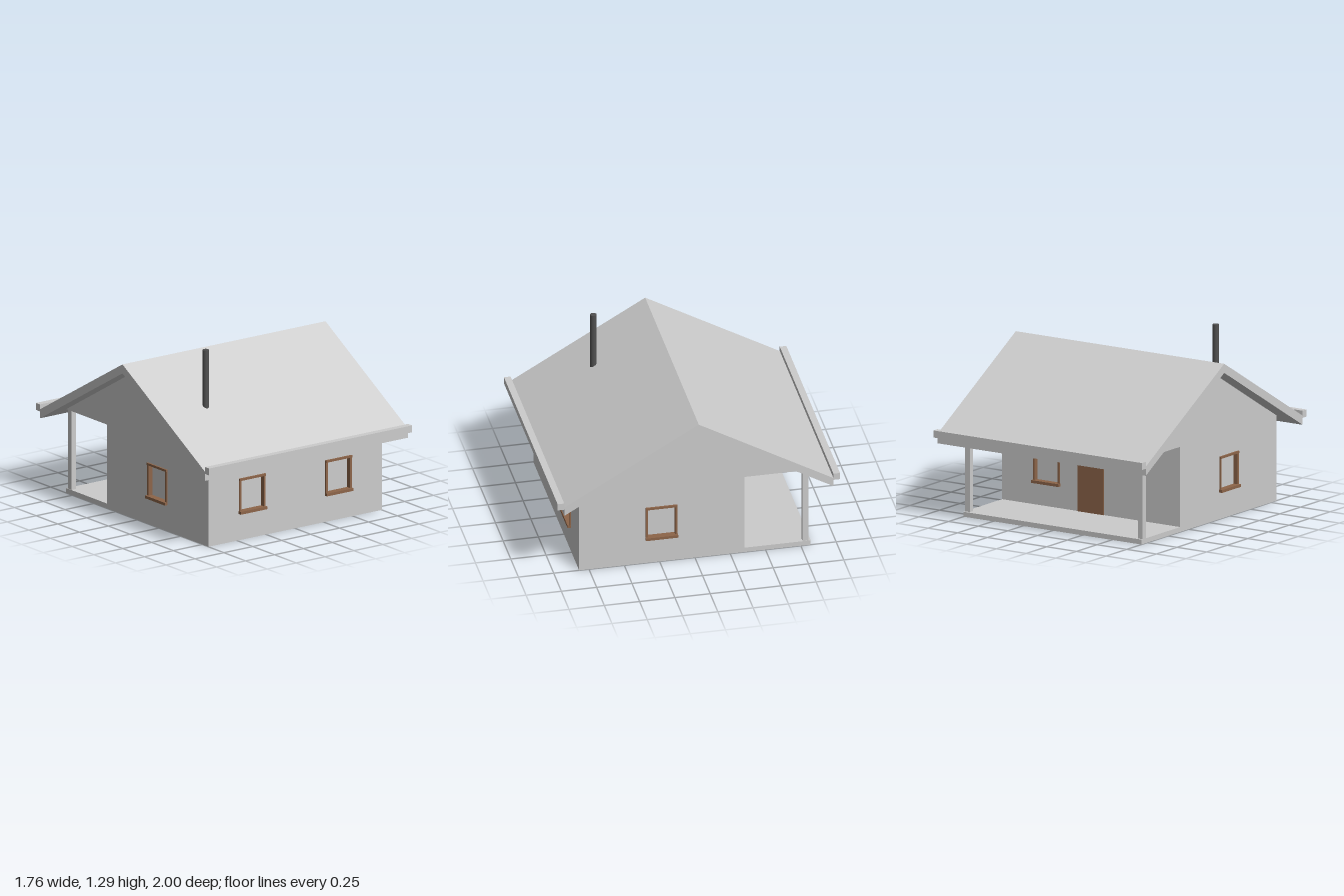
import * as THREE from 'three';

const W = 0.75;      // half width of the house
const FRONT = 0.82;  // front wall
const BACK = -0.35;  // back wall, behind which lies the porch
const EAVE = 0.605;  // wall height
const WIN = { w: 0.225, y0: 0.19, y1: 0.445 };

export function createModel() {
  const house = new THREE.Group();
  house.name = 'house';
  const mat = (name, color, side = THREE.FrontSide) => {
    const m = new THREE.MeshStandardMaterial({ color, side });
    m.name = name;
    return m;
  };
  const grey = mat('plaster grey', 0xcccccc, THREE.DoubleSide);
  const wood = mat('brown wood', 0x8d6549);
  const dark = mat('dark metal', 0x505050);

  const add = (parent, name, geometry, material) => {
    const m = new THREE.Mesh(geometry, material);
    m.name = name;
    parent.add(m);
    return m;
  };
  // Box given by its lower and upper corners
  const box = (parent, name, a, b, material) => {
    const m = add(parent, name, new THREE.BoxGeometry(b[0] - a[0], b[1] - a[1], b[2] - a[2]), material);
    m.position.set((a[0] + b[0]) / 2, (a[1] + b[1]) / 2, (a[2] + b[2]) / 2);
    return m;
  };
  // Thin wall from an outline, with window openings centred at the given places
  const wall = (name, points, openings) => {
    const s = new THREE.Shape(points.map(p => new THREE.Vector2(...p)));
    for (const c of openings) {
      const l = c - WIN.w / 2, r = c + WIN.w / 2;
      s.holes.push(new THREE.Path([[l, WIN.y0], [l, WIN.y1], [r, WIN.y1], [r, WIN.y0]].map(p => new THREE.Vector2(...p))));
    }
    return add(house, name, new THREE.ShapeGeometry(s), grey);
  };
  // Window box set into a wall; local +z points outward
  const windowAt = (name, x, z, turn) => {
    const g = new THREE.Group();
    g.name = name;
    const h = WIN.w / 2, t = 0.016, inn = -0.025, { y0, y1 } = WIN;
    box(g, 'windowSill', [-h - 0.002, y0, inn], [h + 0.002, y0 + 0.02, 0.025], wood);
    box(g, 'windowHead', [-h, y1 - t, inn], [h, y1, 0.013], wood);
    for (const s of [-1, 1]) {
      const e = [s * h, s * (h - t)].sort((a, b) => a - b);
      box(g, 'windowJamb', [e[0], y0 + 0.02, inn], [e[1], y1 - t, 0.009], wood);
    }
    const pane = add(g, 'windowPane', new THREE.PlaneGeometry(2 * h, y1 - y0), grey);
    pane.position.set(0, (y0 + y1) / 2, inn - 0.001);
    g.position.set(x, 0, z);
    g.rotation.y = turn;
    house.add(g);
  };

  // Front and back walls
  const panel = [[-W, 0], [W, 0], [W, EAVE], [-W, EAVE]];
  wall('frontWall', panel, [-0.373, 0.373]).position.z = FRONT;
  wall('backWall', panel, [0.373]).position.z = BACK;

  // Gable walls, reaching over the porch
  const gable = [[-FRONT, 0], [-FRONT, EAVE], [0, 1.08], [FRONT, EAVE], [-BACK, EAVE], [-BACK, 0]];
  for (const s of [-1, 1]) {
    const g = wall(s > 0 ? 'leftGableWall' : 'rightGableWall', gable, [-0.237]);
    g.rotation.y = Math.PI / 2;
    g.position.x = s * W;
    windowAt('sideWindow', s * W, 0.237, s * Math.PI / 2);
    windowAt('frontWindow', s * 0.373, FRONT, 0);
  }
  windowAt('backWindow', 0.373, BACK, Math.PI);

  // Door on the porch
  box(house, 'door', [-0.11, 0.035, BACK - 0.006], [0.11, 0.45, BACK + 0.002], wood);

  // Porch floor and posts
  box(house, 'porchFloor', [-W, 0, -FRONT], [W, 0.035, BACK], grey);
  for (const s of [-1, 1]) {
    const x = s * (W - 0.022);
    box(house, 'porchPost', [x - 0.02, 0.035, -0.803], [x + 0.02, EAVE + 0.005, -0.763], grey);
  }

  // Roof slab, extruded along x
  const R = 0.878, E = 0.953;
  const roofShape = new THREE.Shape([[-E, 0.53], [0, 1.08], [E, 0.53], [E, 0.595], [0, 1.145], [-E, 0.595]]
    .map(p => new THREE.Vector2(...p)));
  const roofGeo = new THREE.ExtrudeGeometry(roofShape, { depth: 2 * R, bevelEnabled: false });
  roofGeo.translate(0, 0, -R).rotateY(Math.PI / 2);
  add(house, 'roof', roofGeo, grey);

  // Gutters along both eaves
  for (const s of [-1, 1]) {
    const z = s * (1 + E) / 2, d = (1 - E) / 2;
    box(house, 'gutter', [-R, 0.58, z - d], [R, 0.63, z + d], grey);
  }

  // Chimney pipe
  const pipe = add(house, 'chimneyPipe', new THREE.CylinderGeometry(0.023, 0.023, 0.42, 12), dark);
  pipe.position.set(-0.495, 1.08, 0.45);

  return house;
}
